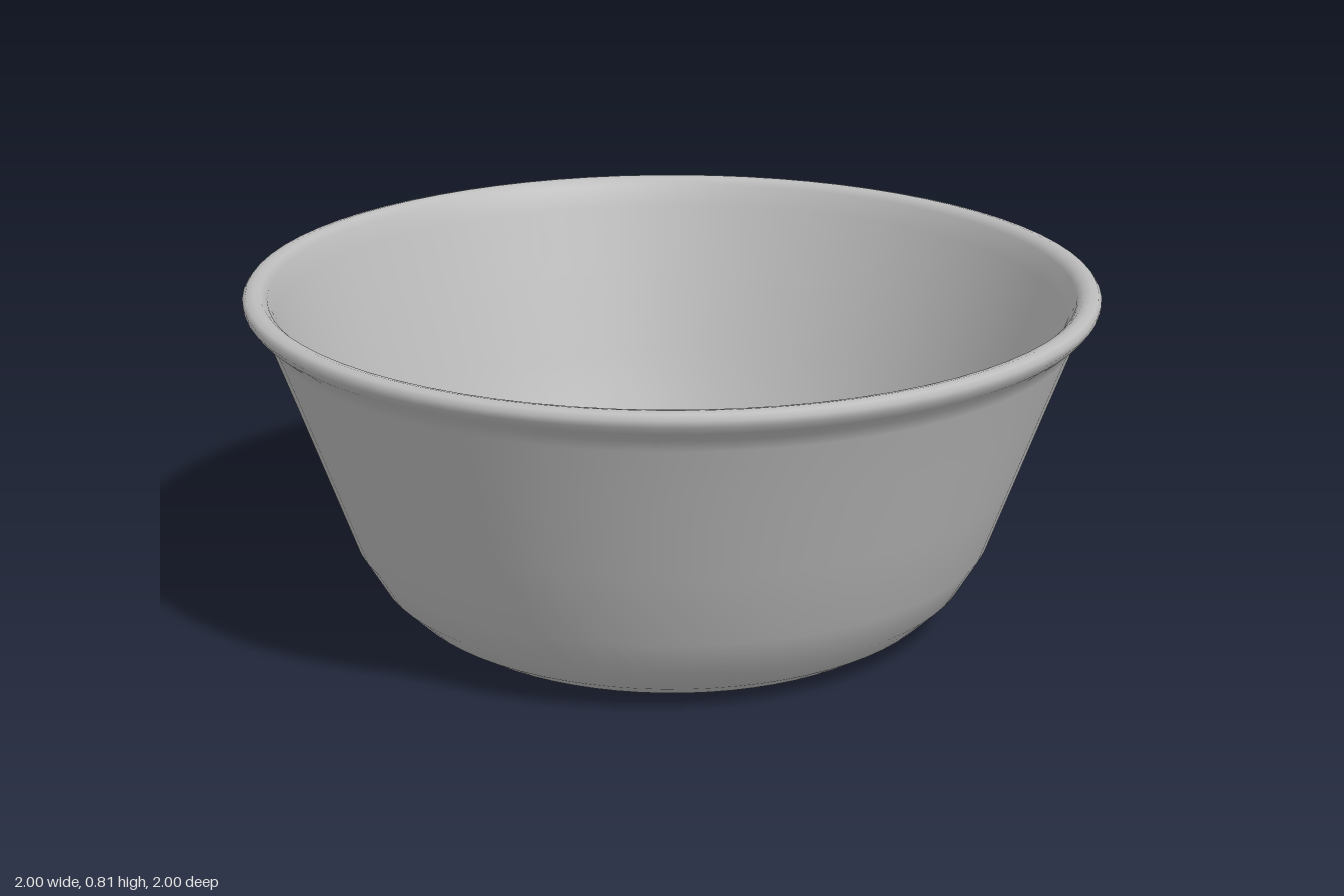
import * as THREE from 'three';

const SEGMENTS = 72;

// Revolves a list of [radius, height] pairs around the y axis
function revolve(name, profile, material) {
  const points = profile.map(([r, y]) => new THREE.Vector2(r, y));
  const mesh = new THREE.Mesh(new THREE.LatheGeometry(points, SEGMENTS), material);
  mesh.name = name;
  return mesh;
}

export function createModel() {
  const group = new THREE.Group();
  group.name = 'bowl';

  const ceramic = new THREE.MeshStandardMaterial({ color: 0xbcbcbc });
  ceramic.name = 'grey ceramic';

  // Flat underside
  group.add(revolve('base', [[0, 0], [0.57, 0]], ceramic));

  // One smooth shell: outside wall, rolled rim, inside wall and floor
  group.add(revolve('shell', [
    // outside, rounded foot then straight flare
    [0.57, 0], [0.595, 0.01], [0.65, 0.045], [0.71, 0.105], [0.765, 0.2],
    [0.83, 0.385], [0.895, 0.57], [0.945, 0.71], [0.957, 0.738],
    // rolled rim
    [0.985, 0.762], [0.998, 0.78], [1, 0.795], [0.992, 0.806], [0.975, 0.81],
    [0.958, 0.806], [0.943, 0.792],
    // inside wall
    [0.925, 0.74], [0.865, 0.57], [0.8, 0.385], [0.74, 0.215],
    [0.7, 0.14], [0.65, 0.085], [0.59, 0.052], [0.54, 0.045],
    // floor
    [0.3, 0.045], [0, 0.045],
  ], ceramic));

  return group;
}
